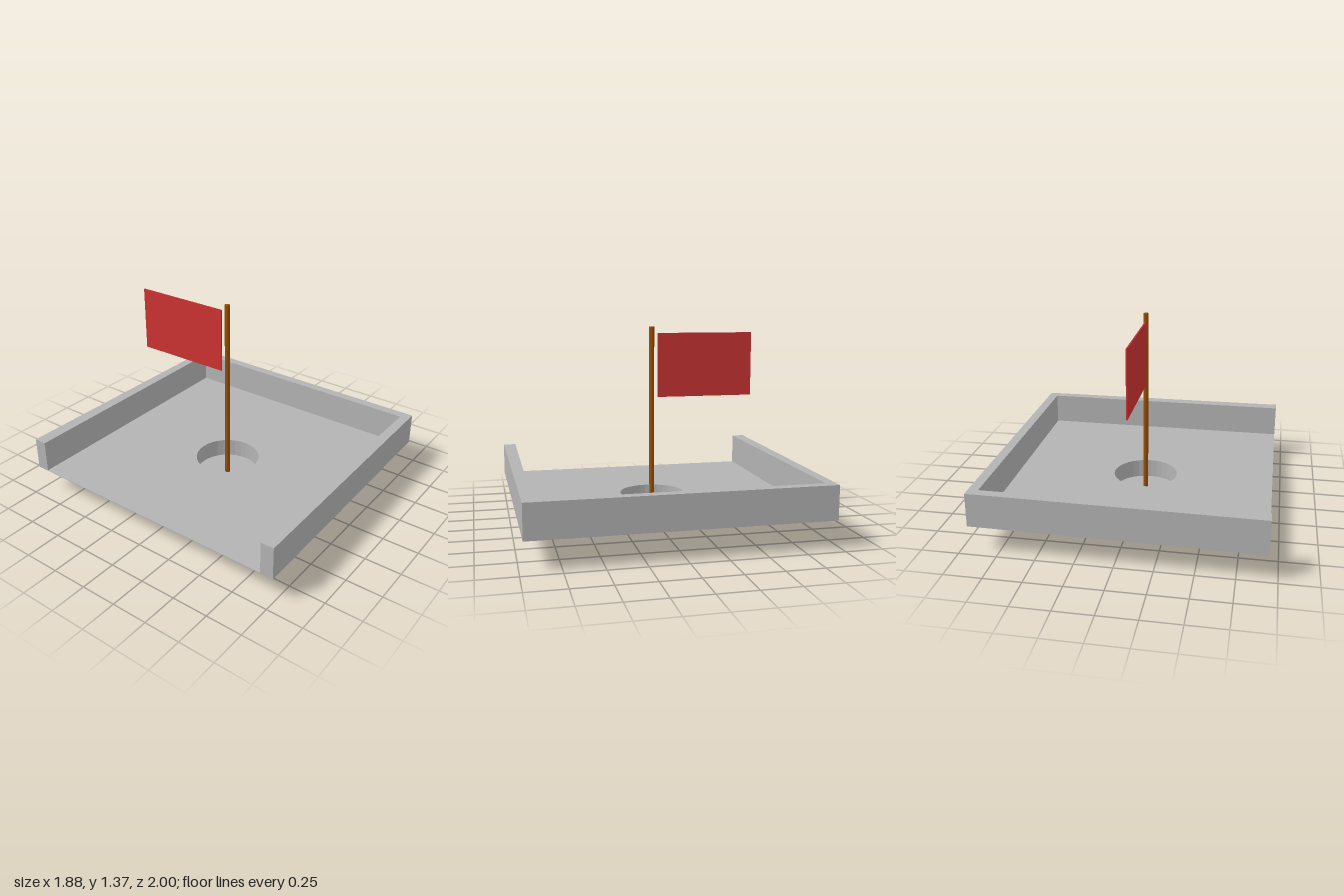
import * as THREE from 'three';

const FLOOR_Y = 0.185, TOP_Y = 0.412, POLE_X = -0.035, CUP_R = 0.228;

// Outline given as [x, z] pairs
const outline = (pts) => new THREE.Shape(pts.map(([x, z]) => new THREE.Vector2(x, -z)));

// Extrude a plan outline upwards from height y
function slab(shape, y, height) {
  const geo = new THREE.ExtrudeGeometry(shape, { depth: height, bevelEnabled: false, curveSegments: 16 });
  return geo.rotateX(-Math.PI / 2).translate(0, y, 0);
}

export function createModel() {
  const model = new THREE.Group();
  const grey = new THREE.MeshStandardMaterial({ color: 0xb3b3b3, flatShading: true });
  grey.name = 'grey';
  const brown = new THREE.MeshStandardMaterial({ color: 0x994d00 });
  brown.name = 'brown';
  const red = new THREE.MeshStandardMaterial({ color: 0xcc3333 });
  red.name = 'red';

  const add = (name, geo, mat) => {
    const mesh = new THREE.Mesh(geo, mat);
    mesh.name = name;
    model.add(mesh);
    return mesh;
  };

  // Thin tapered floor with a round hole
  const floor = outline([[-0.94, 1], [0.94, 0.974], [0.94, -0.974], [-0.94, -1]]);
  const hole = new THREE.Path();
  hole.absarc(POLE_X, 0, CUP_R - 0.003, 0, Math.PI * 2, true);
  floor.holes.push(hole);
  add('floor', slab(floor, FLOOR_Y, 0.004), grey);

  // Wall on three sides, open towards -x
  const wall = outline([
    [-0.94, 1], [0.94, 0.974], [0.94, -0.974], [-0.94, -1],
    [-0.94, -0.91], [0.873, -0.91], [0.873, 0.91], [-0.94, 0.91],
  ]);
  add('wall', slab(wall, FLOOR_Y, TOP_Y - FLOOR_Y), grey);

  // Cup below the hole, with a thick bottom
  const profile = [
    [0, 0], [CUP_R, 0], [CUP_R, FLOOR_Y], [CUP_R - 0.003, FLOOR_Y], [CUP_R - 0.003, 0.06], [0, 0.06],
  ].map(([r, y]) => new THREE.Vector2(r, y));
  add('cup', new THREE.LatheGeometry(profile, 32), grey).position.x = POLE_X;

  // Flag pole standing in the cup
  const pole = add('pole', new THREE.CylinderGeometry(0.018, 0.018, 1.365, 16), brown);
  pole.position.set(POLE_X, 1.365 / 2, 0);

  // Flag, just behind the pole
  const flag = add('flag', new THREE.BoxGeometry(0.009, 0.448, 0.684), red);
  flag.position.set(-0.04, 1.095, -0.387);

  return model;
}
